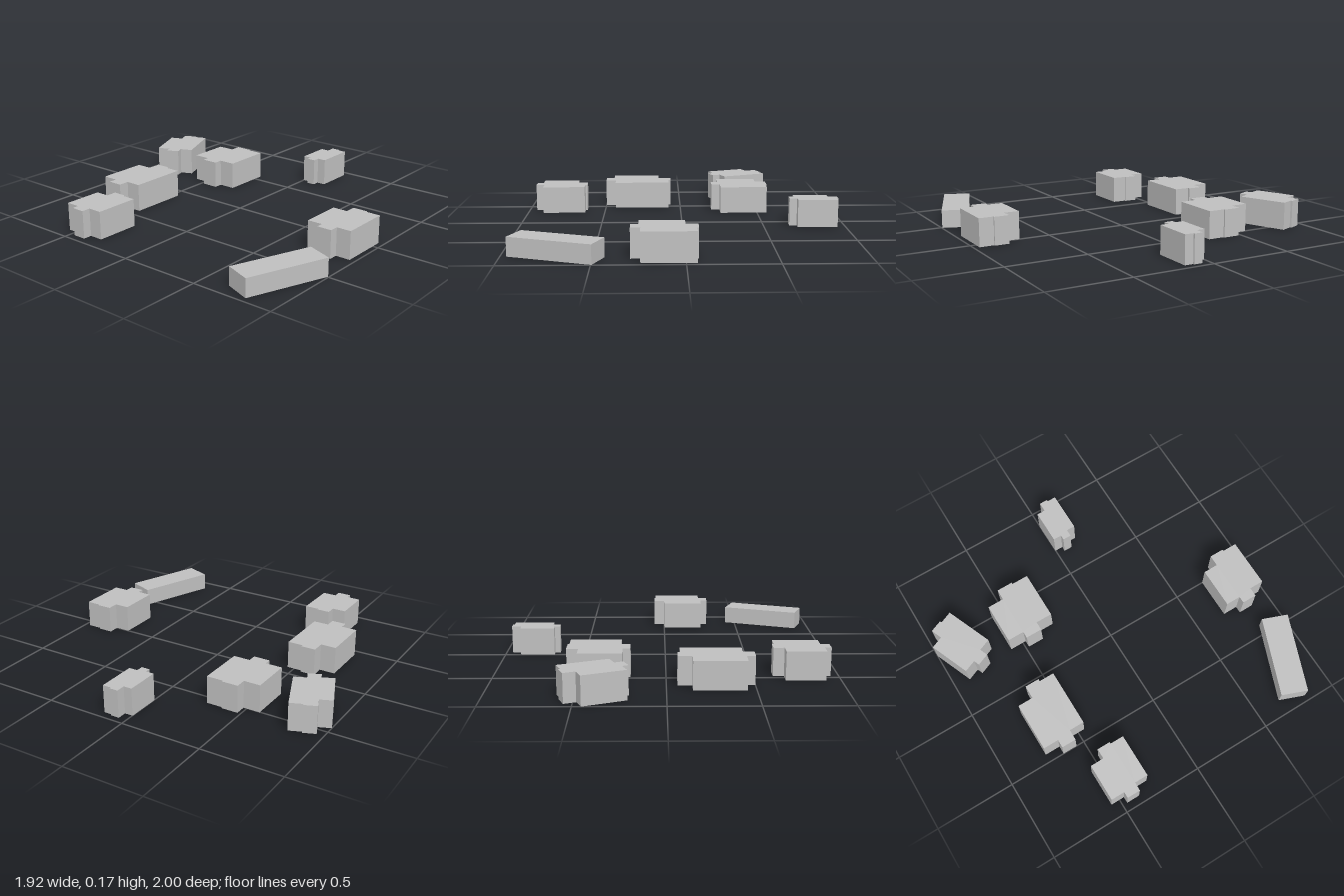
import * as THREE from 'three';

const HEIGHT = 0.17;

// Stepped footprint: three strips [left, right] from back to front, split at the four z values.
function steppedBlock([back, middle, front], [z0, z1, z2, z3]) {
  const outline = [
    [back[0], z0], [back[0], z1], [middle[0], z1], [middle[0], z2], [front[0], z2], [front[0], z3],
    [front[1], z3], [front[1], z2], [middle[1], z2], [middle[1], z1], [back[1], z1], [back[1], z0],
  ];
  const shape = new THREE.Shape(outline.map(([x, z]) => new THREE.Vector2(x, -z)));
  return new THREE.ExtrudeGeometry(shape, { depth: HEIGHT, bevelEnabled: false }).rotateX(-Math.PI / 2);
}

export function createModel() {
  const group = new THREE.Group();
  const grey = new THREE.MeshStandardMaterial({ color: 0xbfbfbf });
  grey.name = 'plain grey';

  function add(name, geometry, x = 0, y = 0, z = 0, turn = 0) {
    const mesh = new THREE.Mesh(geometry, grey);
    mesh.name = name;
    mesh.position.set(x, y, z);
    mesh.rotation.y = turn;
    group.add(mesh);
  }

  // Houses aligned with the axes
  const houses = {
    leftmostHouse: [[[-0.914, -0.682], [-0.953, -0.618], [-0.9, -0.629]], [-0.555, -0.47, -0.387, -0.302]],
    wideHouse: [[[-0.449, -0.146], [-0.5, -0.063], [-0.434, -0.078]], [-0.737, -0.641, -0.551, -0.457]],
    middleHouse: [[[0.248, 0.503], [0.205, 0.572], [0.26, 0.562]], [-0.583, -0.48, -0.378, -0.275]],
    smallHouse: [[[0.692, 0.902], [0.66, 0.96], [0.705, 0.95]], [-0.002, 0.05, 0.102, 0.156]],
    frontHouse: [[[-0.255, 0], [-0.298, 0.07], [-0.242, 0.06]], [0.693, 0.785, 0.876, 0.966]],
  };
  for (const [name, [strips, depths]] of Object.entries(houses)) add(name, steppedBlock(strips, depths));

  // House turned on its plot
  add('turnedHouse',
    steppedBlock([[-0.154, 0.106], [-0.192, 0.179], [-0.139, 0.167]], [-0.124, -0.046, 0.033, 0.112]),
    0.4, 0, -0.845, 0.394);

  // Low, long outbuilding
  add('lowBuilding', new THREE.BoxGeometry(0.503, 0.11, 0.166), -0.7, 0.055, 0.828, -0.366);

  return group;
}
